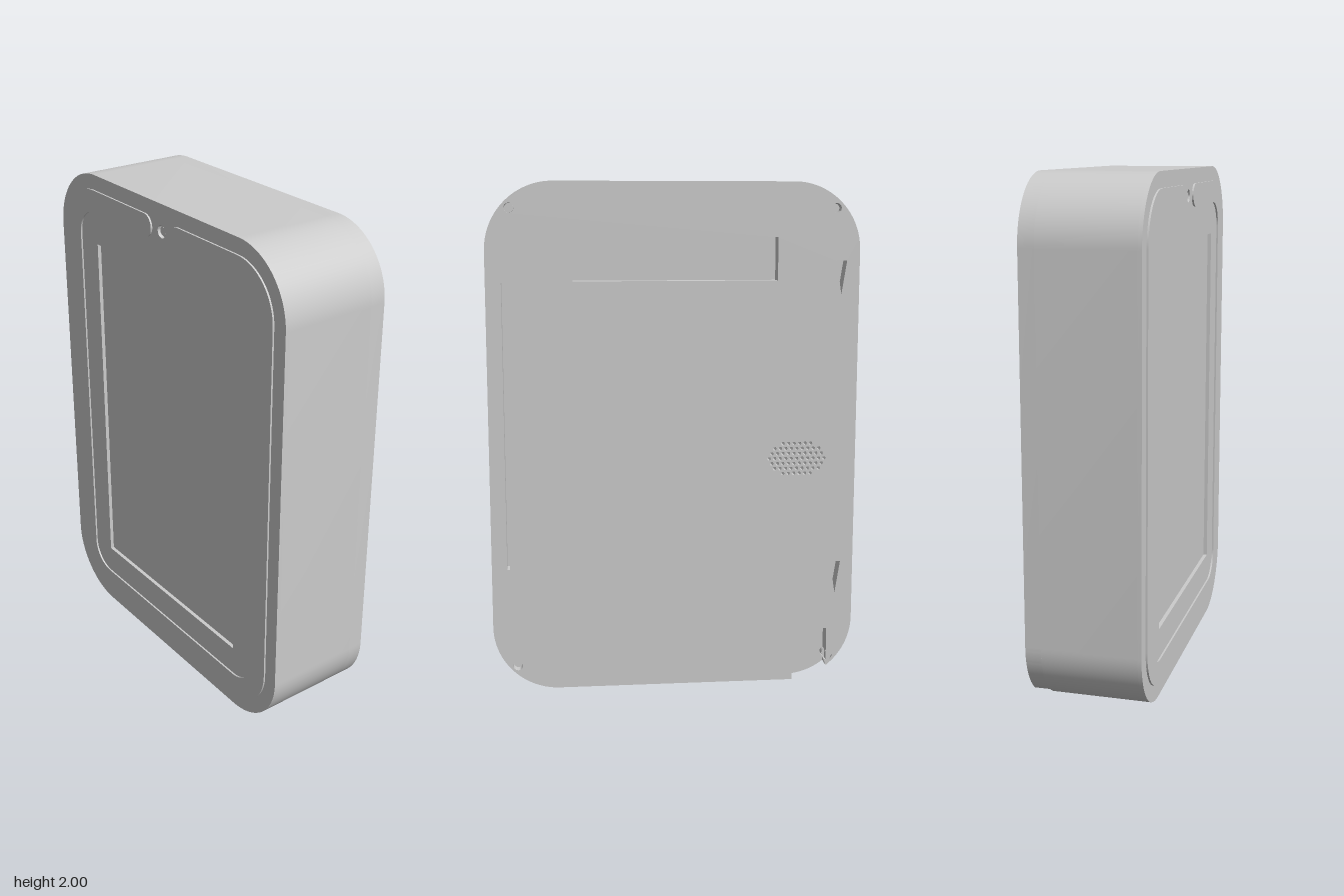
import * as THREE from 'three';
import { toCreasedNormals } from 'three/addons/utils/BufferGeometryUtils.js';

const W = 0.72, BOTTOM = 0.008, TOP = 2, R = 0.26;
const FRONT = 0.22, BACK = -0.226, CORE_FRONT = 0.205, CORE_BACK = -0.165;

// Rounded rectangle, optionally with a cable notch in the corner at low y, -x
function roundedRect(Type, x0, x1, y0, y1, r, notch) {
  const p = new Type();
  p.moveTo(x1 - r, y0);
  p.absarc(x1 - r, y0 + r, r, -Math.PI / 2, 0);
  p.absarc(x1 - r, y1 - r, r, 0, Math.PI / 2);
  p.absarc(x0 + r, y1 - r, r, Math.PI / 2, Math.PI);
  if (notch) {
    const a = Math.PI * 2 - Math.acos((notch.x0 - x0 - r) / r);
    const b = Math.PI * 2 - Math.acos((notch.x1 - x0 - r) / r);
    p.absarc(x0 + r, y0 + r, r, Math.PI, a);
    p.lineTo(notch.x0, notch.top);
    p.lineTo(notch.x1, notch.top);
    p.absarc(x0 + r, y0 + r, r, b, Math.PI * 1.5);
  } else {
    p.absarc(x0 + r, y0 + r, r, Math.PI, Math.PI * 1.5);
  }
  p.closePath();
  return p;
}

function polygon(points) {
  return new THREE.Path(points.map(([x, y]) => new THREE.Vector2(x, y)));
}

function circle(x, y, r) {
  const p = new THREE.Path();
  p.absarc(x, y, r, 0, Math.PI * 2);
  return p;
}

export function createModel() {
  const model = new THREE.Group();
  model.name = 'wallTerminal';
  const material = new THREE.MeshStandardMaterial({ color: 0xcccccc });

  const add = (name, geometry) => {
    const mesh = new THREE.Mesh(geometry, material);
    mesh.name = name;
    model.add(mesh);
    return mesh;
  };
  const slab = (name, shape, z0, z1, curveSegments = 14) => {
    const g = new THREE.ExtrudeGeometry(shape, { depth: z1 - z0, bevelEnabled: false, curveSegments });
    g.translate(0, 0, z0);
    return add(name, toCreasedNormals(g, 0.6));
  };
  const outline = (notch) => roundedRect(THREE.Shape, -W, W, BOTTOM, TOP, R, notch);

  // Main housing
  slab('housing', outline(), CORE_BACK, CORE_FRONT);

  // Front bezel with the screen opening and camera hole
  const bezel = outline();
  bezel.holes.push(polygon([[-0.455, 0.28], [-0.455, 1.72], [0.455, 1.72], [0.455, 0.28]]));
  bezel.holes.push(circle(0, 1.895, 0.025));
  slab('frontBezel', bezel, CORE_FRONT, FRONT);

  // Raised light strip, open at the top around the camera, with round ends
  const strip = new THREE.Shape();
  const gap = 0.105, h = 0.045, midY = 1.895;
  const cx = 0.46, cTop = 1.74, cBot = 0.27, ro = 0.2, ri = 0.11;
  strip.moveTo(-gap, midY + h);
  strip.absarc(-cx, cTop, ro, Math.PI / 2, Math.PI);
  strip.absarc(-cx, cBot, ro, Math.PI, Math.PI * 1.5);
  strip.absarc(cx, cBot, ro, -Math.PI / 2, 0);
  strip.absarc(cx, cTop, ro, 0, Math.PI / 2);
  strip.absarc(gap, midY, h, Math.PI / 2, Math.PI * 1.5);
  strip.absarc(cx, cTop, ri, Math.PI / 2, 0, true);
  strip.absarc(cx, cBot, ri, 0, -Math.PI / 2, true);
  strip.absarc(-cx, cBot, ri, Math.PI * 1.5, Math.PI, true);
  strip.absarc(-cx, cTop, ri, Math.PI, Math.PI / 2, true);
  strip.absarc(-gap, midY, h, -Math.PI / 2, Math.PI / 2);
  slab('lightStrip', strip, FRONT - 0.004, FRONT + 0.007);

  // Back cover with label slot, cable notch, grip cuts, screw and speaker holes
  const cover = outline({ x0: -0.62, x1: -0.48, top: 0.22 });
  cover.holes.push(polygon([[-0.4, 1.625], [-0.4, 1.79], [0.39, 1.79], [0.39, 1.625]]));
  cover.holes.push(polygon([[0.65, 0.5], [0.65, 1.62], [0.66, 1.62], [0.66, 0.5]]));
  for (const y of [0.37, 1.57]) {
    cover.holes.push(polygon([[-0.67, y + 0.13], [-0.63, y + 0.13], [-0.65, y]]));
  }
  const screws = [];
  for (const x of [-0.625, 0.625]) for (const y of [0.105, 1.9]) screws.push([x, y]);
  for (const [x, y] of screws) cover.holes.push(circle(x, y, 0.019));

  // Speaker grille: staggered small holes within an ellipse
  for (let row = -3; row <= 3; row++) {
    for (let col = -6; col <= 6; col++) {
      const x = (col + (row % 2 ? 0.5 : 0)) * 0.022, y = row * 0.02;
      if ((x / 0.118) ** 2 + (y / 0.072) ** 2 > 1) continue;
      cover.holes.push(polygon([0, 1, 2, 3, 4, 5].map((i) => {
        const a = -i * Math.PI / 3;
        return [-0.485 + x + 0.0075 * Math.cos(a), 0.925 + y + 0.0075 * Math.sin(a)];
      })));
    }
  }
  slab('backCover', cover, BACK, CORE_BACK);

  // Screw heads set into the back corners
  for (const [x, y] of screws) {
    const head = add('coverScrew', new THREE.CylinderGeometry(0.017, 0.017, 0.03, 16));
    head.rotation.x = Math.PI / 2;
    head.position.set(x, y, CORE_BACK - 0.015);
  }

  // Camera lens at the bottom of its hole
  const lens = add('cameraLens', new THREE.CylinderGeometry(0.016, 0.016, 0.01, 20));
  lens.rotation.x = Math.PI / 2;
  lens.position.set(0, 1.895, CORE_FRONT + 0.004);

  // Low foot under the base
  const foot = add('foot', new THREE.BoxGeometry(0.06, 0.012, 0.03));
  foot.position.set(-0.08, 0.006, -0.14);

  return model;
}
